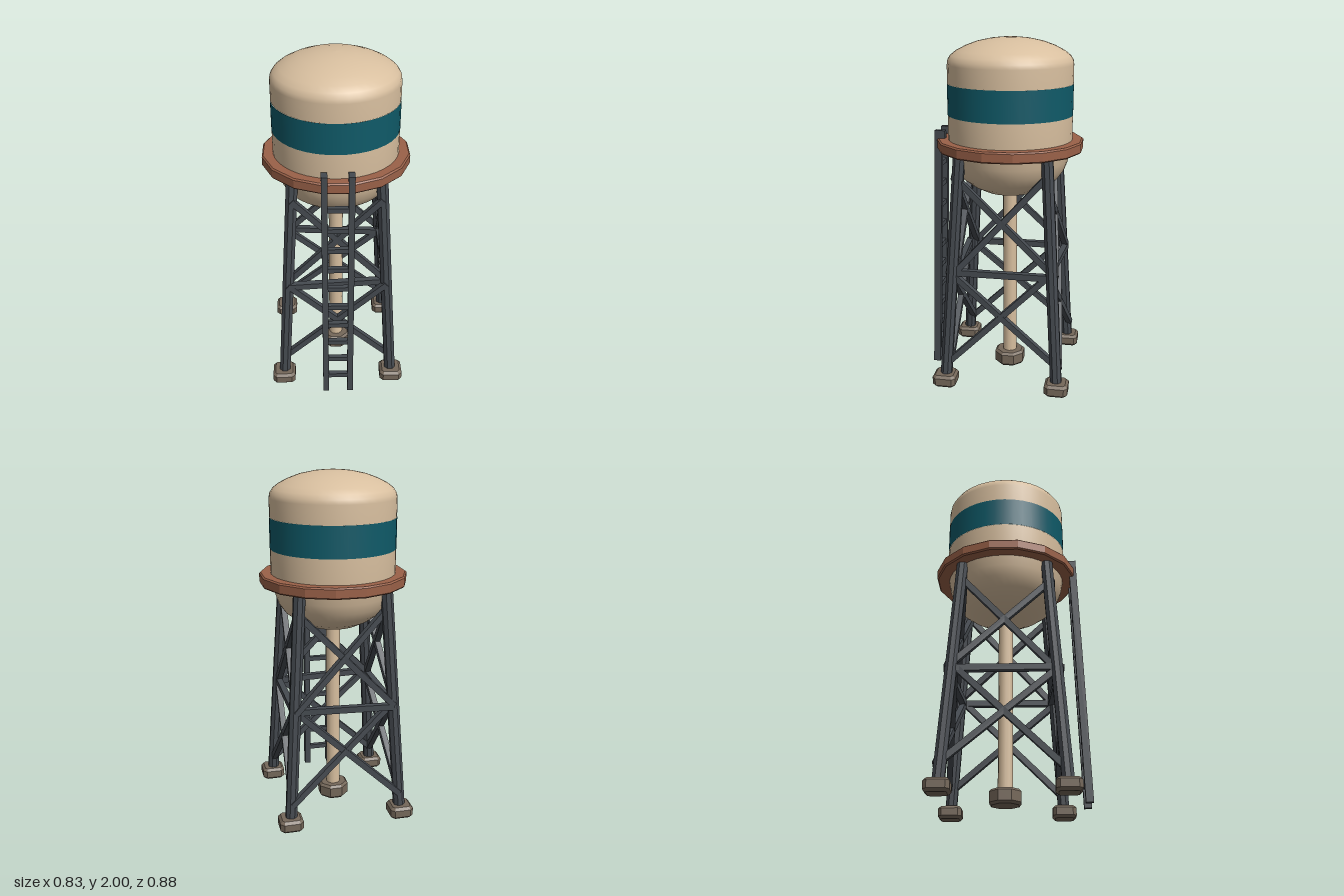
import * as THREE from 'three';
import { toCreasedNormals } from 'three/addons/utils/BufferGeometryUtils.js';

const material = (name, color) => {
  const m = new THREE.MeshStandardMaterial({ color });
  m.name = name;
  return m;
};
const V = (x, y, z) => new THREE.Vector3(x, y, z);
const flat = (geometry) => toCreasedNormals(geometry, 0.3);

export function createModel() {
  const cream = material('cream paint', 0xd8bf9f);
  const teal = material('teal paint', 0x0f5a68);
  const rust = material('rust walkway', 0x9a6148);
  const steel = material('dark steel', 0x454a50);
  const stone = material('footing stone', 0x75685a);

  const model = new THREE.Group();
  model.name = 'waterTower';
  const tower = new THREE.Group();
  tower.name = 'tower';
  tower.position.z = -0.022;
  model.add(tower);

  const add = (parent, name, geometry, mat) => {
    const mesh = new THREE.Mesh(geometry, mat);
    mesh.name = name;
    parent.add(mesh);
    return mesh;
  };
  const lathe = (points, sides) =>
    new THREE.LatheGeometry(points.map(([r, y]) => new THREE.Vector2(r, y)), sides);

  // Straight bar of rectangular section between two points
  const bar = (parent, name, a, b, w, d = w) => {
    const mesh = add(parent, name, new THREE.BoxGeometry(w, d, a.distanceTo(b)), steel);
    mesh.position.copy(a).add(b).multiplyScalar(0.5);
    mesh.lookAt(b);
    return mesh;
  };

  // Tank: round bowl, straight wall and shallow dome
  add(tower, 'tankBowl', lathe([[0, 1.1], [0.07, 1.105], [0.15, 1.125], [0.22, 1.16], [0.28, 1.205],
    [0.315, 1.255], [0.335, 1.31], [0.347, 1.37], [0.357, 1.42], [0.357, 1.57]], 40), cream);
  add(tower, 'tankBand', lathe([[0.358, 1.57], [0.358, 1.745]], 40), teal);
  add(tower, 'tankDome', lathe([[0.357, 1.745], [0.357, 1.85], [0.353, 1.875], [0.337, 1.9],
    [0.305, 1.925], [0.255, 1.951], [0.19, 1.975], [0.11, 1.992], [0.05, 1.998], [0, 2]], 40), cream);

  // Walkway ring with softened outer edges
  const ring = lathe([[0.34, 1.367], [0.414, 1.367], [0.422, 1.375], [0.422, 1.422],
    [0.414, 1.43], [0.34, 1.43]], 16);
  ring.rotateY(Math.PI / 16);
  add(tower, 'walkway', flat(ring), rust);

  // Central pipe on its round footing
  const pipe = add(tower, 'centralPipe', new THREE.CylinderGeometry(0.042, 0.042, 1.07, 12), cream);
  pipe.position.y = 0.615;
  add(tower, 'pipeFooting', flat(lathe([[0, 0.008], [0.08, 0.008], [0.094, 0.022], [0.094, 0.08],
    [0.08, 0.094], [0, 0.094]], 8).rotateY(Math.PI / 8)), stone);

  // Legs lean inwards; half spread at a given height
  const spread = (y) => 0.33 - 0.062 * y;
  const corner = (i, y) => {
    const sx = i === 0 || i === 3 ? 1 : -1;
    const sz = i < 2 ? 1 : -1;
    return V(sx * spread(y), y, sz * spread(y));
  };

  // Chamfered footing block
  const h = 0.053, c = 0.012;
  const outline = new THREE.Shape([[h, -h + c], [h, h - c], [h - c, h], [-h + c, h], [-h, h - c],
    [-h, -h + c], [-h + c, -h], [h - c, -h]].map(([x, y]) => new THREE.Vector2(x, y)));
  const footing = flat(new THREE.ExtrudeGeometry(outline,
    { depth: 0.042, bevelThickness: 0.015, bevelSize: 0.015, bevelSegments: 1 })
    .rotateX(-Math.PI / 2).translate(0, 0.015, 0));

  for (let i = 0; i < 4; i++) {
    const j = (i + 1) % 4;
    const foot = corner(i, 0);
    add(tower, 'footing', footing, stone).position.set(foot.x, 0, foot.z);

    // Eight-sided leg
    const a = corner(i, 0.05), b = corner(i, 1.39);
    const legGeometry = new THREE.CylinderGeometry(0.035, 0.035, a.distanceTo(b), 8);
    const leg = add(tower, 'leg', flat(legGeometry.rotateY(Math.PI / 8)), steel);
    leg.position.copy(a).add(b).multiplyScalar(0.5);
    leg.quaternion.setFromUnitVectors(V(0, 1, 0), b.clone().sub(a).normalize());

    // Two tiers of cross bracing and a horizontal tie on each side
    for (const [low, high] of [[0.15, 0.7], [0.7, 1.25]]) {
      bar(tower, 'crossBrace', corner(i, low), corner(j, high), 0.034);
      bar(tower, 'crossBrace', corner(j, low), corner(i, high), 0.034);
    }
    bar(tower, 'horizontalTie', corner(i, 0.693), corner(j, 0.693), 0.036);
  }

  // Ladder leaning on the front of the walkway
  const ladder = new THREE.Group();
  ladder.name = 'ladder';
  model.add(ladder);
  const ladderZ = (y) => 0.426 - 0.03 * y;
  for (const s of [-1, 1]) {
    bar(ladder, 'ladderRail', V(s * 0.073, 0.008, ladderZ(0)), V(s * 0.073, 1.475, ladderZ(1.475)), 0.034, 0.042);
    // Hook over the walkway edge
    const hook = add(ladder, 'ladderHook', new THREE.BoxGeometry(0.034, 0.045, 0.05), steel);
    hook.position.set(s * 0.073, 1.452, 0.368);
  }
  for (let k = 0; k < 10; k++) {
    const y = 0.122 + k * 0.1278;
    bar(ladder, 'rung', V(-0.07, y, ladderZ(y)), V(0.07, y, ladderZ(y)), 0.028);
  }
  return model;
}
